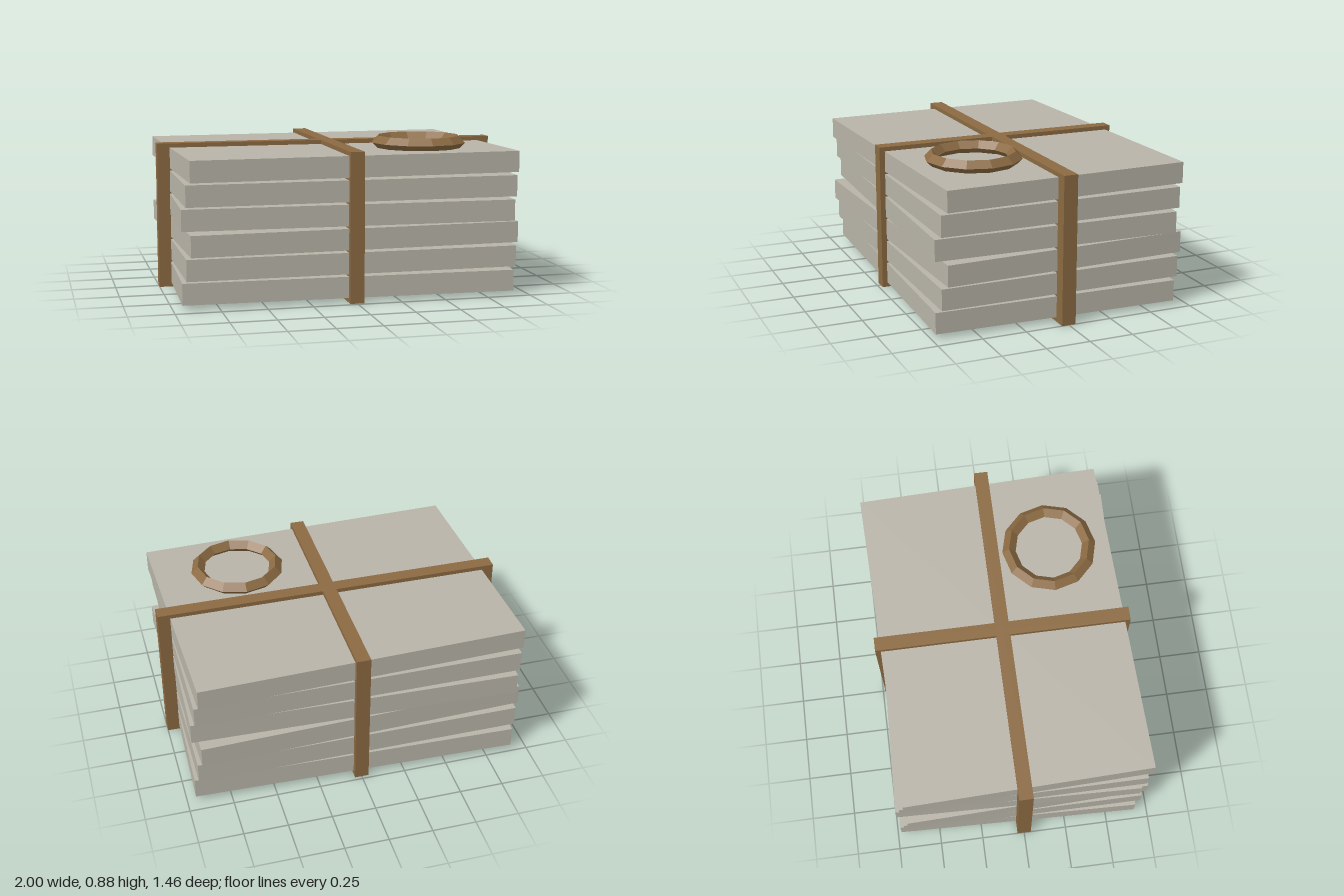
import * as THREE from 'three';

export function createModel() {
  const group = new THREE.Group();
  const stone = new THREE.MeshStandardMaterial({ color: 0xb8b4a8, flatShading: true });
  stone.name = 'pale stone';
  const wood = new THREE.MeshStandardMaterial({ color: 0x8b6a42, flatShading: true });
  wood.name = 'brown strap';

  const add = (name, geometry, material, x, y, z) => {
    const mesh = new THREE.Mesh(geometry, material);
    mesh.name = name;
    mesh.position.set(x, y, z);
    group.add(mesh);
    return mesh;
  };

  // Six stacked slabs, each turned slightly in a repeating pattern
  const slabGeometry = new THREE.BoxGeometry(1.86, 0.119, 1.4);
  for (let i = 0; i < 6; i++) {
    const slab = add(`slab${i + 1}`, slabGeometry, stone, 0, 0.086 + i * 0.1327, 0);
    slab.rotation.y = ((i % 3) - 1) * 0.03;
  }

  // Crossed straps running right through the stack
  const height = 0.833;
  add('longStrap', new THREE.BoxGeometry(2, height, 0.08), wood, 0, height / 2, 0);
  add('crossStrap', new THREE.BoxGeometry(0.08, height, 1.46), wood, 0, height / 2, 0);

  // Faceted ring lying on the top slab
  const ring = add('ring', new THREE.TorusGeometry(0.233, 0.039, 4, 12), wood, 0.465, 0.839, 0.332);
  ring.rotation.x = -Math.PI / 2;

  return group;
}
